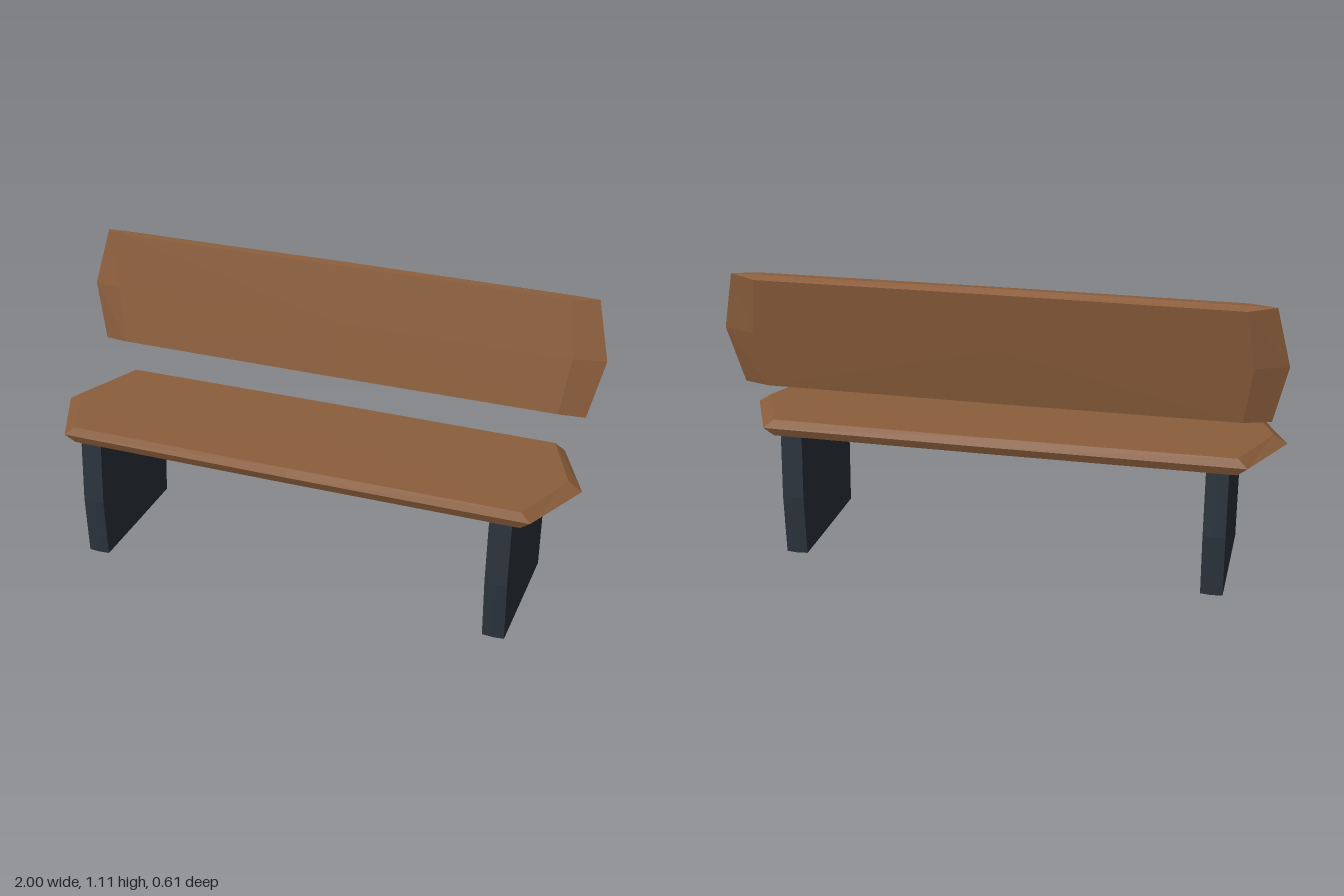
import * as THREE from 'three';

// Faceted cushion-like slab lying in XY with thickness along Z.
// rim and face are outlines: [tipX, cornerX, cornerY, midY]
function slabGeometry(rim, face, halfThickness, poleZ) {
  const ring = ([tip, cx, cy, mid], z) => [
    [tip, 0, z], [cx, cy, z], [0, mid, z], [-cx, cy, z],
    [-tip, 0, z], [-cx, -cy, z], [0, -mid, z], [cx, -cy, z],
  ];
  const points = [
    ...ring(face, -halfThickness), ...ring(rim, 0), ...ring(face, halfThickness),
    [0, 0, -poleZ], [0, 0, poleZ],
  ];
  const index = [];
  for (let i = 0; i < 8; i++) {
    const j = (i + 1) % 8;
    for (const r of [0, 8]) {
      index.push(r + i, r + j, r + 8 + j, r + i, r + 8 + j, r + 8 + i);
    }
    index.push(24, j, i, 25, 16 + i, 16 + j);
  }
  const geometry = new THREE.BufferGeometry();
  geometry.setAttribute('position', new THREE.Float32BufferAttribute(points.flat(), 3));
  geometry.setIndex(index);
  const flat = geometry.toNonIndexed();
  flat.computeVertexNormals();
  return flat;
}

export function createModel() {
  const group = new THREE.Group();
  const wood = new THREE.MeshStandardMaterial({ color: 0x8b5e3c });
  wood.name = 'wood';
  const metal = new THREE.MeshStandardMaterial({ color: 0x2b333b });
  metal.name = 'darkMetal';

  const add = (name, geometry, material, position, rotation) => {
    const mesh = new THREE.Mesh(geometry, material);
    mesh.name = name;
    mesh.position.set(...position);
    mesh.rotation.set(...rotation);
    group.add(mesh);
  };

  // Seat plank
  add('seat',
    slabGeometry([1, 0.88, 0.268, 0.272], [0.95, 0.845, 0.255, 0.258], 0.031, 0.033),
    wood, [0, 0.513, 0.032], [-Math.PI / 2, 0, 0]);

  // Backrest plank, leaning back
  add('backrest',
    slabGeometry([1, 0.95, 0.216, 0.221], [0.885, 0.855, 0.21, 0.212], 0.0315, 0.033),
    wood, [0, 0.892, -0.236], [-0.17, 0, 0]);

  // Panel legs
  const leg = slabGeometry([0.272, 0.258, 0.234, 0.246], [0.27, 0.257, 0.232, 0.233], 0.04, 0.042);
  for (const side of [1, -1]) {
    add(side > 0 ? 'leftLeg' : 'rightLeg', leg, metal,
      [side * 0.778, 0.248, 0.032], [0, Math.PI / 2, 0]);
  }
  return group;
}
